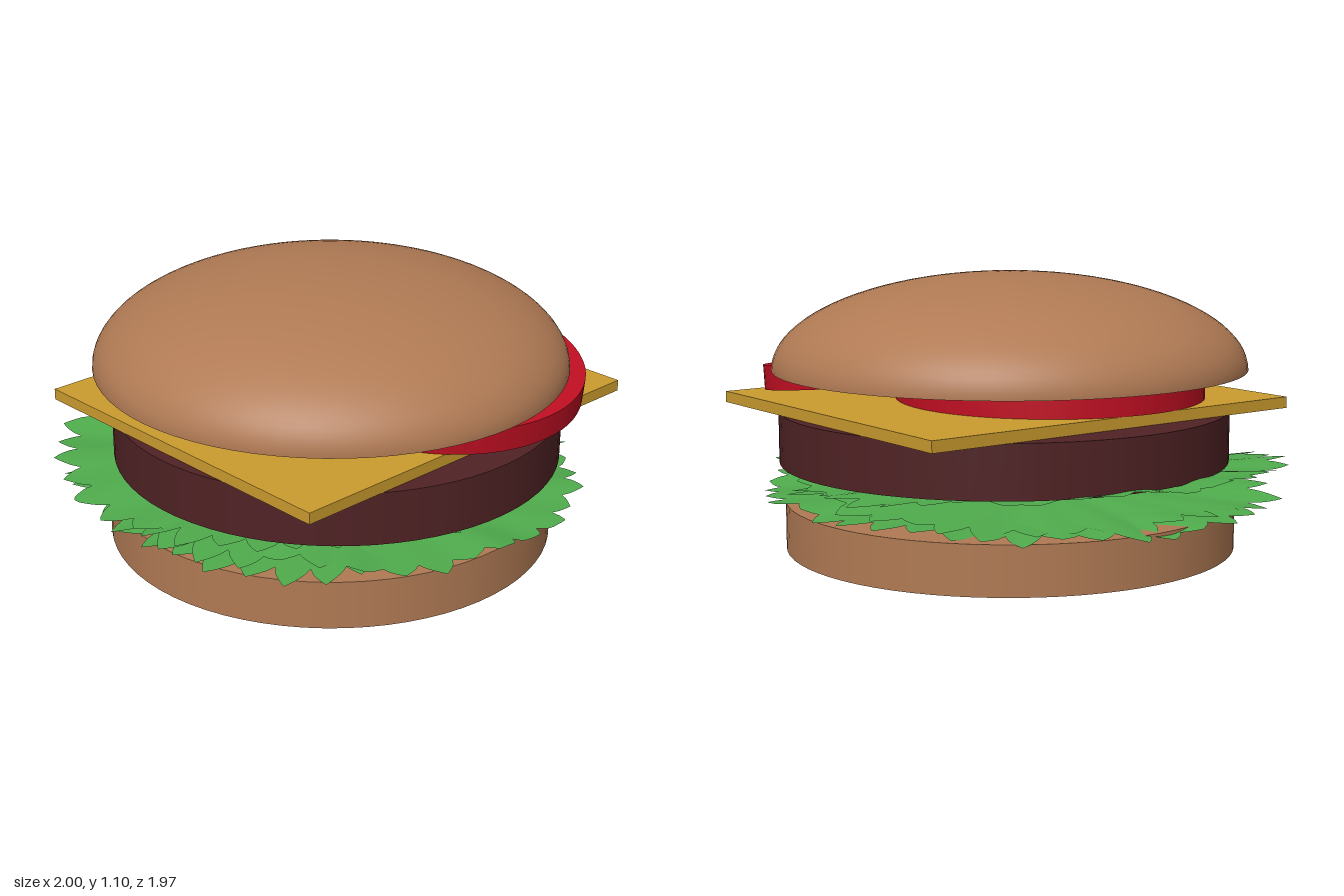
import * as THREE from 'three';

function mat(name, color, side = THREE.FrontSide) {
  const m = new THREE.MeshStandardMaterial({ color, side });
  m.name = name;
  return m;
}

// Small seeded generator for the ragged leaf edges
function seeded(seed) {
  let s = seed;
  return () => (s = (s * 16807) % 2147483647) / 2147483647;
}

// Thin ragged leaf: rings of points around a centre, edge cut into pointed lobes
function leafGeometry({ seed, cx, cz, radius, y, slope }) {
  const rand = seeded(seed);
  const teeth = 38, steps = 8, n = teeth * steps;
  const size = Array.from({ length: teeth }, () => 0.03 + 0.11 * rand());
  const phase = rand() * 6;
  const rings = [0, 0.5, 0.78, 0.9, 1];
  const pos = [], index = [];
  rings.forEach((f, j) => {
    for (let i = 0; i < n; i++) {
      const a = (i / n) * Math.PI * 2;
      const t = (i % steps) / steps;
      const lobe = Math.pow(1 - Math.abs(2 * t - 1), 0.75) * size[Math.floor(i / steps)];
      const r = radius + 0.05 * Math.sin(2 * a) + (j === rings.length - 1 ? lobe : 0);
      const x = THREE.MathUtils.clamp(cx + Math.cos(a) * r * f, -1, 0.98);
      const z = THREE.MathUtils.clamp(cz + Math.sin(a) * r * f, -0.98, 0.99);
      const wave = 0.009 * f * f * (Math.sin(9 * a + phase) + 0.6 * Math.sin(17 * a + phase));
      pos.push(x, y + slope * z + wave, z);
    }
  });
  for (let j = 0; j < rings.length - 1; j++) {
    for (let i = 0; i < n; i++) {
      const k = (i + 1) % n;
      const a = j * n + i, b = j * n + k, c = a + n, d = b + n;
      if (j > 0) index.push(a, b, c);
      index.push(b, d, c);
    }
  }
  const g = new THREE.BufferGeometry();
  g.setAttribute('position', new THREE.Float32BufferAttribute(pos, 3));
  g.setIndex(index);
  g.computeVertexNormals();
  return g;
}

export function createModel() {
  const bun = mat('bun brown', 0xb07a54);
  const meat = mat('patty brown', 0x4f2224);
  const cheeseMat = mat('cheese yellow', 0xca9b2e);
  const red = mat('tomato red', 0xc00f22);
  const green = mat('lettuce green', 0x4fab4c, THREE.DoubleSide);

  const model = new THREE.Group();
  model.name = 'hamburger';
  const add = (name, geometry, material, x, y, z, parent = model) => {
    const m = new THREE.Mesh(geometry, material);
    m.name = name;
    m.position.set(x, y, z);
    parent.add(m);
    return m;
  };
  const disc = (r, h) => new THREE.CylinderGeometry(r, r, h, 72);

  // Bottom bun
  add('bottomBun', disc(0.908, 0.195), bun, 0.04, 0.0975, 0.023);

  // Lettuce: a level leaf and two leaves crossing at a slant
  const lettuce = new THREE.Group();
  lettuce.name = 'lettuce';
  model.add(lettuce);
  [
    { seed: 4021, cx: 0.04, cz: 0.09, radius: 0.86, y: 0.215, slope: 0.01 },
    { seed: 777, cx: 0.0, cz: -0.03, radius: 0.85, y: 0.268, slope: 0.084 },
    { seed: 91823, cx: -0.04, cz: -0.08, radius: 0.86, y: 0.28, slope: -0.088 },
  ].forEach((leaf, i) => add('lettuceLeaf' + (i + 1), leafGeometry(leaf), green, 0, 0, 0, lettuce));

  // Patty and cheese
  add('patty', disc(0.908, 0.21), meat, 0.052, 0.455, 0.047);
  add('cheese', new THREE.BoxGeometry(1.72, 0.045, 1.5), cheeseMat, 0.052, 0.5825, 0.055);

  // Tomato slices: one flat, one leaning up into the top bun
  add('flatTomato', disc(0.622, 0.105), red, -0.078, 0.6575, -0.088);
  const slice = add('leaningTomato', disc(0.625, 0.1), red, 0.28, 0.711, 0.334);
  slice.rotation.x = Math.atan(0.117);

  // Top bun: half ellipsoid closed by a flat underside
  const topBun = new THREE.Group();
  topBun.name = 'topBun';
  topBun.position.set(0.04, 0.72, 0.025);
  model.add(topBun);
  const dome = new THREE.SphereGeometry(1, 72, 24, 0, Math.PI * 2, 0, Math.PI / 2);
  dome.scale(0.955, 0.382, 0.955);
  add('topBunDome', dome, bun, 0, 0, 0, topBun);
  add('topBunBase', new THREE.CircleGeometry(0.955, 72).rotateX(Math.PI / 2), bun, 0, 0, 0, topBun);

  return model;
}
